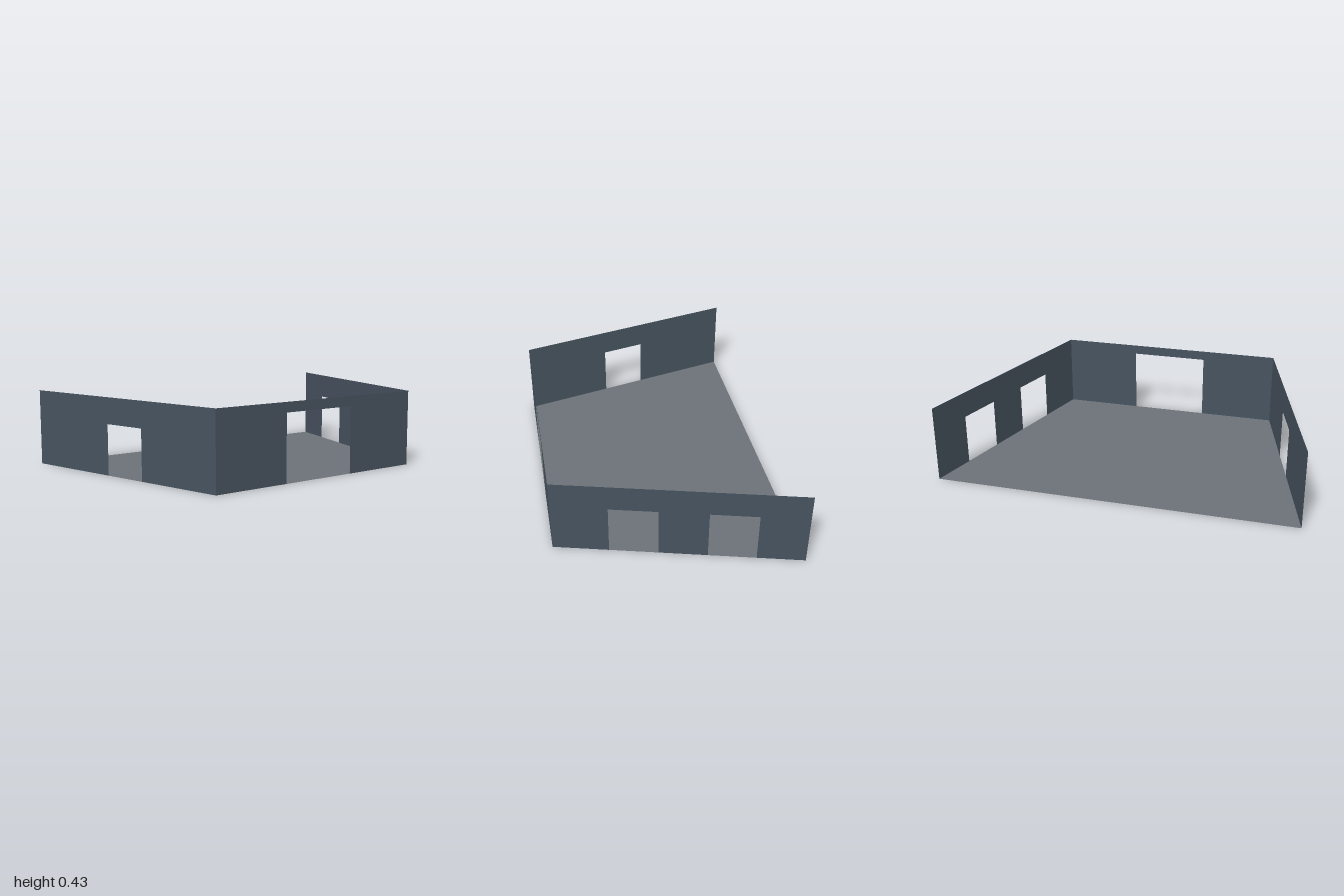
import * as THREE from 'three';

const HEIGHT = 0.425;

// Thin wall standing between two floor points; doors are [start, end, height] along its length
function wall(name, from, to, doors, material) {
  const dx = to[0] - from[0], dz = to[1] - from[1];
  const length = Math.hypot(dx, dz);
  const shape = new THREE.Shape();
  shape.moveTo(0, 0);
  for (const [start, end, h] of doors) {
    shape.lineTo(start, 0);
    shape.lineTo(start, h);
    shape.lineTo(end, h);
    shape.lineTo(end, 0);
  }
  shape.lineTo(length, 0);
  shape.lineTo(length, HEIGHT);
  shape.lineTo(0, HEIGHT);
  shape.closePath();
  const mesh = new THREE.Mesh(new THREE.ShapeGeometry(shape), material);
  mesh.name = name;
  mesh.position.set(from[0], 0, from[1]);
  mesh.rotation.y = Math.atan2(-dz, dx);
  return mesh;
}

export function createModel() {
  const group = new THREE.Group();
  group.name = 'openRoom';
  const wallMat = new THREE.MeshStandardMaterial({ color: 0x47535f, side: THREE.DoubleSide });
  const floorMat = new THREE.MeshStandardMaterial({ color: 0x6b7278, side: THREE.DoubleSide });

  // Trapezoid plan: wide open side at -x, narrow walled side at +x
  const X = 0.64, WIDE = 1, NARROW = 0.665;
  const floorShape = new THREE.Shape([
    new THREE.Vector2(-X, -WIDE), new THREE.Vector2(X, -NARROW),
    new THREE.Vector2(X, NARROW), new THREE.Vector2(-X, WIDE),
  ]);
  const floor = new THREE.Mesh(new THREE.ShapeGeometry(floorShape), floorMat);
  floor.name = 'floor';
  floor.rotation.x = -Math.PI / 2;
  group.add(floor);

  // Slanted walls: convert door x positions to distances along the wall
  const slope = Math.hypot(2 * X, WIDE - NARROW) / (2 * X);
  const along = (x) => (x + X) * slope;
  const door = (x0, x1) => [along(x0), along(x1), 0.28];

  group.add(wall('frontWall', [-X, WIDE], [X, NARROW], [door(-0.095, 0.15)], wallMat));

  // Back wall runs from +x to -x so that it faces outward; door positions are mirrored
  group.add(wall('backWall', [X, -NARROW], [-X, -WIDE],
    [door(-0.35, -0.1), door(0.15, 0.395)], wallMat));

  // Side wall with the large entrance
  group.add(wall('sideWall', [X, NARROW], [X, -NARROW],
    [[NARROW - 0.225, NARROW + 0.22, 0.37]], wallMat));

  return group;
}
